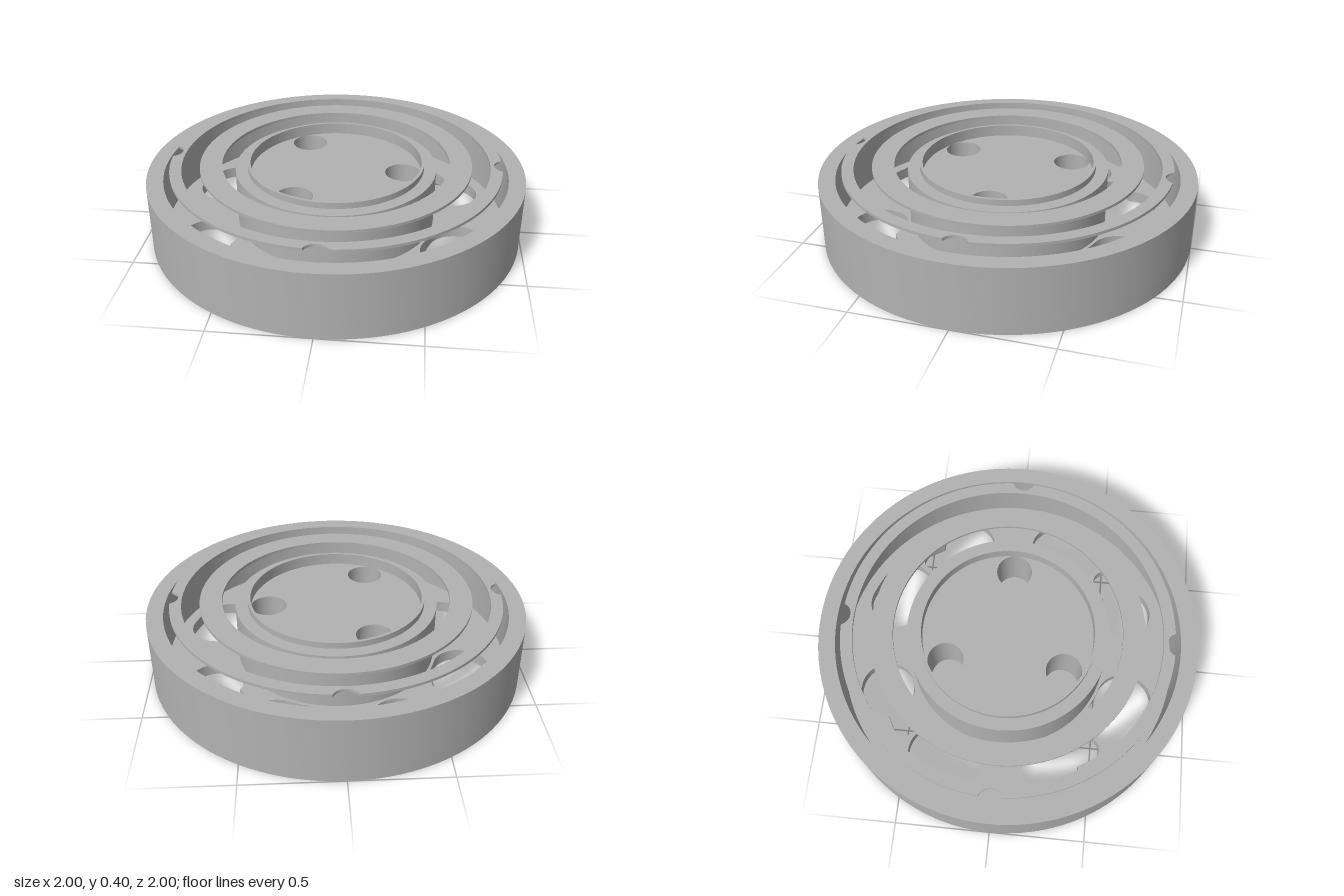
import * as THREE from 'three';
import { toCreasedNormals } from 'three/addons/utils/BufferGeometryUtils.js';

const TAU = Math.PI * 2;
const rad = (d) => (d * Math.PI) / 180;
const polar = (r, a) => [r * Math.cos(a), r * Math.sin(a)];

function circle(r, x = 0, y = 0) {
  return new THREE.Path().absarc(x, y, r, 0, TAU, false);
}

function disc(r, holes = []) {
  const shape = new THREE.Shape();
  shape.absarc(0, 0, r, 0, TAU, false);
  shape.holes.push(...holes);
  return shape;
}

// Curved slot with round ends
function slotHole(turn) {
  const R = 0.7, r = 0.15, a = turn + rad(62), b = turn + rad(71);
  const p = new THREE.Path();
  p.absarc(0, 0, R + r, a, b, false);
  p.absarc(...polar(R, b), r, b, b + Math.PI, false);
  p.absarc(0, 0, R - r, b, a, true);
  p.absarc(...polar(R, a), r, a + Math.PI, a + TAU, false);
  p.closePath();
  return p;
}

// Round hole with a small rounded tab on one side
function tabbedHole(turn) {
  const c = turn + rad(24.5), tab = turn + rad(42.7), aim = turn + rad(122);
  const p = new THREE.Path();
  p.absarc(...polar(0.7, c), 0.148, aim + rad(24), aim - rad(24) + TAU, false);
  p.absarc(...polar(0.705, tab), 0.065, tab, tab + Math.PI, false);
  p.closePath();
  return p;
}

// Ring outline with four rounded notches in its outer edge
function notchedDisc(r, holes) {
  const shape = new THREE.Shape();
  const c = 0.9, n = 0.065;
  const x = (r * r + c * c - n * n) / (2 * c);
  const y = Math.sqrt(r * r - x * x);
  const half = Math.atan2(y, x);
  const inner = Math.atan2(y, x - c);
  for (let i = 0; i < 4; i++) {
    const a = (i * Math.PI) / 2;
    shape.absarc(...polar(c, a), n, a - inner + TAU, a + inner, true);
    shape.absarc(0, 0, r, a + half, a + Math.PI / 2 - half, false);
  }
  shape.closePath();
  shape.holes.push(...holes);
  return shape;
}

export function createModel() {
  const group = new THREE.Group();
  const grey = new THREE.MeshStandardMaterial({ color: 0xb2b2b2 });
  grey.name = 'grey';

  // Raises a plan outline from y0 to y1
  function slab(name, shape, y0, y1) {
    const geo = new THREE.ExtrudeGeometry(shape, {
      depth: y1 - y0, bevelEnabled: false, curveSegments: 72,
    });
    geo.rotateX(-Math.PI / 2);
    geo.translate(0, y0, 0);
    const mesh = new THREE.Mesh(toCreasedNormals(geo, 0.5), grey);
    mesh.name = name;
    group.add(mesh);
  }

  // Housing: perforated floor and outer wall
  const vents = [];
  for (let i = 0; i < 4; i++) {
    vents.push(slotHole((i * Math.PI) / 2), tabbedHole((i * Math.PI) / 2));
  }
  slab('housingFloor', disc(1, vents), 0, 0.063);
  slab('housingWall', disc(1, [circle(0.912)]), 0.063, 0.355);

  // Central pedestal with a recessed top and three round pockets
  const pockets = [0, 1, 2].map((i) => circle(0.095, ...polar(0.36, (i * TAU) / 3)));
  slab('pedestalCore', disc(0.455, pockets), 0.063, 0.335);
  slab('pedestalWall', disc(0.535, [circle(0.455)]), 0.063, 0.365);
  slab('pedestalLip', disc(0.47, [circle(0.455)]), 0.365, 0.398);

  // Thin flat rings above the channel
  slab('middleRing', disc(0.72, [circle(0.603)]), 0.385, 0.4);
  slab('notchedRing', notchedDisc(0.877, [circle(0.815)]), 0.385, 0.4);

  return group;
}
